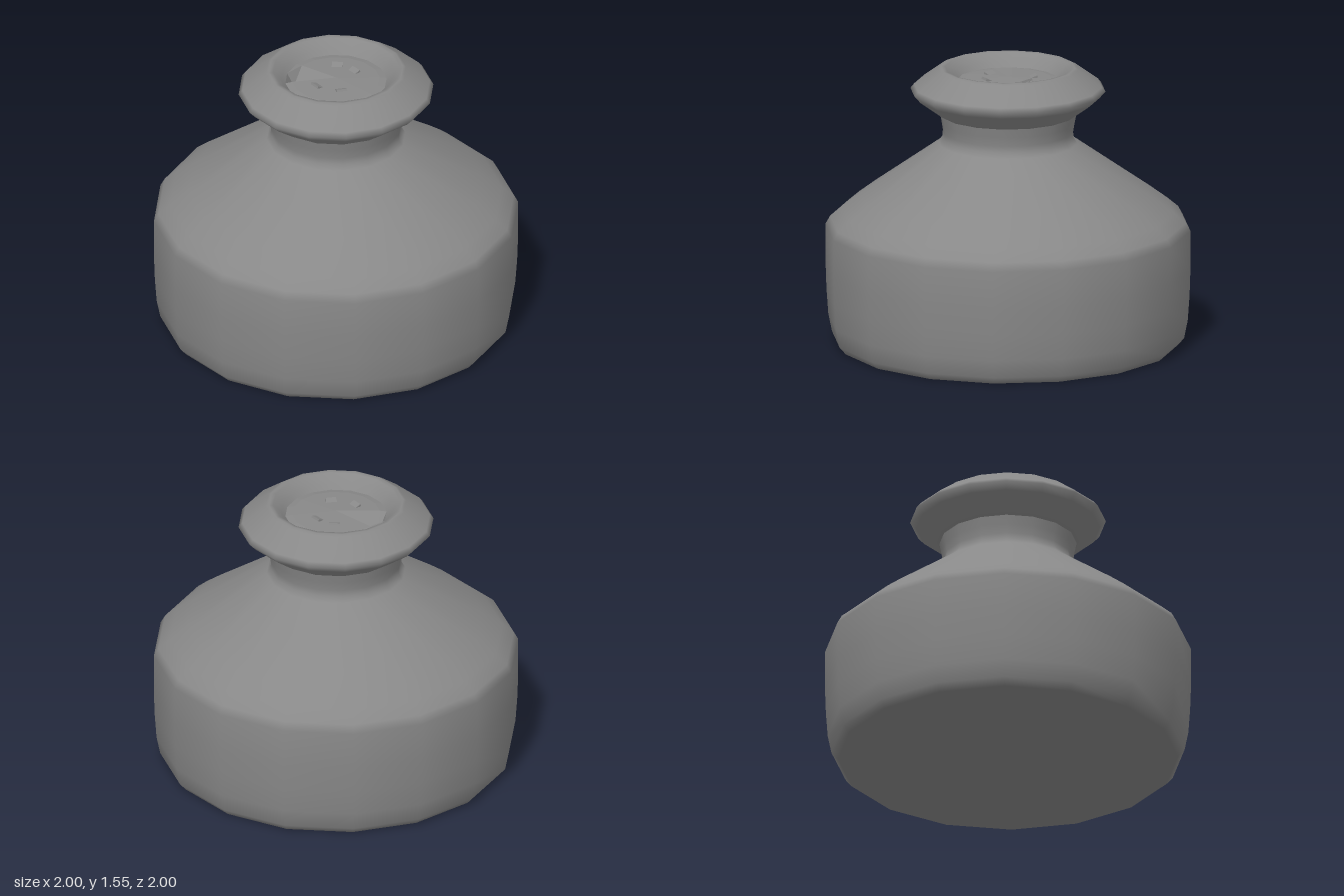
import * as THREE from 'three';

const SIDES = 16;

export function createModel() {
  const group = new THREE.Group();
  const material = new THREE.MeshStandardMaterial({ color: 0x888888 });

  function add(name, geometry) {
    const mesh = new THREE.Mesh(geometry, material);
    mesh.name = name;
    group.add(mesh);
    return mesh;
  }
  const turn = (profile) =>
    new THREE.LatheGeometry(profile.map(([r, y]) => new THREE.Vector2(r, y)), SIDES);

  // Base, rounded body, sloping shoulder and neck in one smooth surface
  add('body', turn([
    [0, 0], [0.93, 0], [0.965, 0.04], [0.985, 0.14], [0.995, 0.28], [1, 0.43],
    [1, 0.645], [0.975, 0.69], [0.91, 0.745], [0.81, 0.82],
    [0.38, 1.125], [0.36, 1.155], [0.357, 1.19], [0.365, 1.24], [0.375, 1.29],
  ]));

  // Flared collar, rolling over into the mouth
  add('collar', turn([
    [0.375, 1.29], [0.5, 1.382], [0.535, 1.42], [0.515, 1.445],
    [0.385, 1.54], [0.368, 1.548], [0.345, 1.545], [0.3, 1.5], [0.278, 1.475],
  ]));

  // Plug in the mouth, slightly domed, with one facet notched down
  const plug = turn([[0.278, 1.475], [0.24, 1.482], [0, 1.495]]);
  plug.attributes.position.setY(9 * 3 + 1, 1.4);
  const facetedPlug = plug.toNonIndexed();
  facetedPlug.computeVertexNormals();
  add('plug', facetedPlug);

  // Small tilted chips around the plug centre
  for (const [x, z] of [[0.11, -0.08], [0.12, 0.025], [-0.075, 0.095], [-0.12, -0.03]]) {
    const chip = add('plugChip', new THREE.BoxGeometry(0.05, 0.012, 0.06));
    chip.position.set(x, 1.487, z);
    chip.rotation.set(0, -Math.atan2(z, x), 0.4);
  }

  return group;
}
